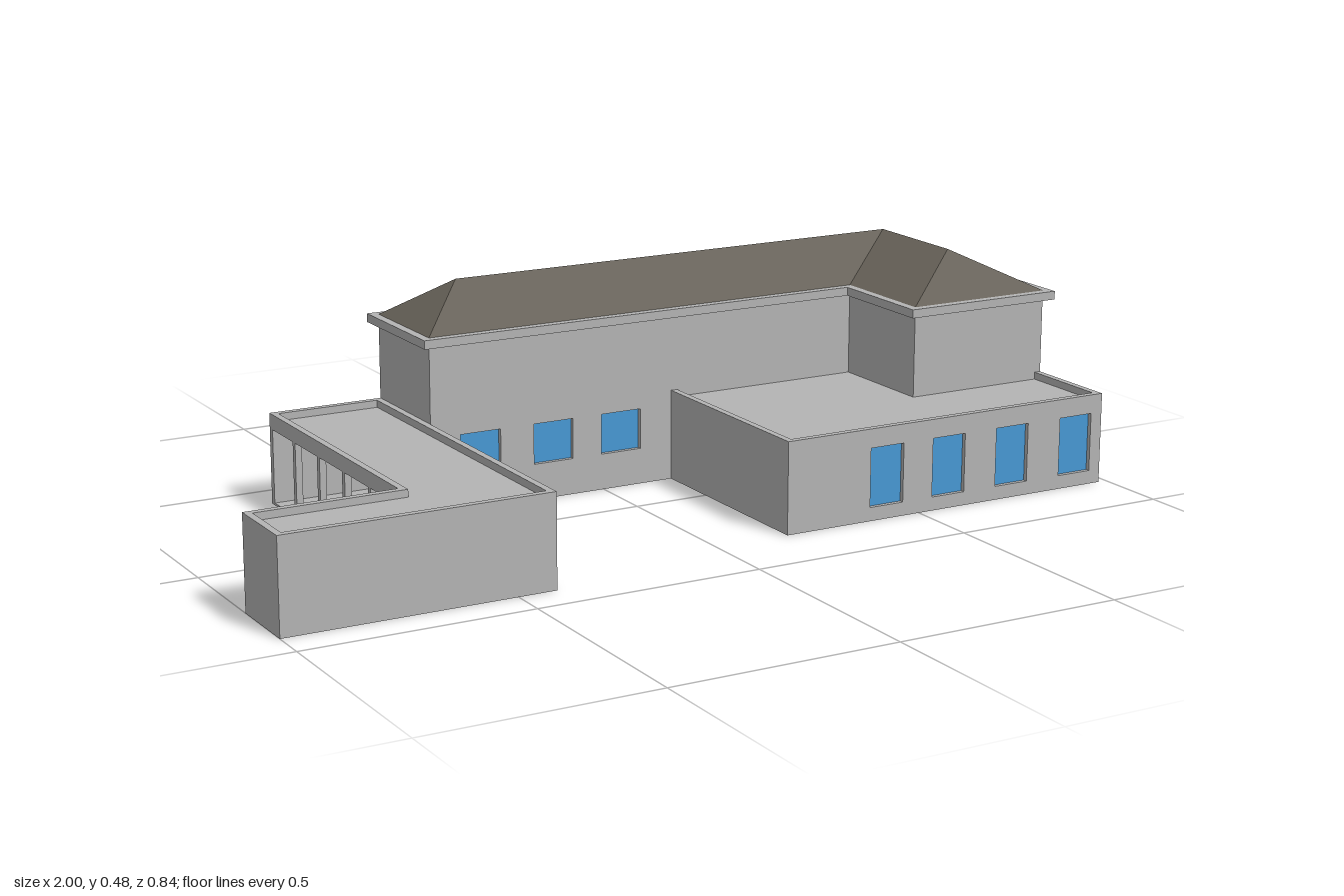
import * as THREE from 'three';

const material = (name, color) => Object.assign(new THREE.MeshStandardMaterial({ color }), { name });

// Footprints run counter-clockwise seen from above, as [x, z]
const MAIN = [[-0.415, -0.15], [0.635, -0.15], [0.635, 0.11], [0.98, 0.11], [0.98, -0.403], [-0.415, -0.403]];
const GROUND = [[-0.415, -0.15], [0.17, -0.15], [0.17, 0.335], [0.98, 0.335], [0.98, -0.403], [-0.415, -0.403]];
const ANNEX = [[0.17, -0.17], [0.17, 0.335], [0.98, 0.335], [0.98, -0.17]];
const WING = [[-1, 0.42], [-0.415, 0.42], [-0.415, -0.403], [-0.675, -0.403], [-0.675, 0.25], [-1, 0.25]];
const WALL = 0.015;

// Direction of the footprint edge starting at corner i
function edge(points, i) {
  const n = points.length;
  const p = points[(i + n) % n], q = points[(i + 1) % n];
  const length = Math.hypot(q[0] - p[0], q[1] - p[1]);
  return { p, length, dx: (q[0] - p[0]) / length, dz: (q[1] - p[1]) / length };
}

// Moves every edge of a right-angled footprint inwards by d
function inset(points, d) {
  return points.map(([x, z], i) => {
    const a = edge(points, i - 1), b = edge(points, i);
    return [x + d * (a.dz + b.dz), z - d * (a.dx + b.dx)];
  });
}

// Upright prism over a footprint, optionally with a hole
function prism(name, points, y0, y1, mat, hole) {
  const flat = (list) => list.map(([x, z]) => new THREE.Vector2(x, -z));
  const shape = new THREE.Shape(flat(points));
  if (hole) shape.holes.push(new THREE.Path(flat(hole)));
  const geometry = new THREE.ExtrudeGeometry(shape, { depth: y1 - y0, bevelEnabled: false });
  geometry.rotateX(-Math.PI / 2).translate(0, y0, 0);
  const mesh = new THREE.Mesh(geometry, mat);
  mesh.name = name;
  return mesh;
}

const rectangle = (Type, x0, x1, y0, y1) => new Type([[x0, y0], [x1, y0], [x1, y1], [x0, y1]]
  .map(([x, y]) => new THREE.Vector2(x, y)));

// Wall along one edge; openings are [from, to, bottom, top] in world x or z
function wall(name, points, i, height, openings, mat, glass) {
  const { p, length, dx, dz } = edge(points, i);
  const group = new THREE.Group();
  group.name = name;
  const shape = rectangle(THREE.Shape, 0, length, 0, height);
  for (const [from, to, y0, y1] of openings) {
    const along = (w) => Math.abs(dx) > 0.5 ? (w - p[0]) * dx : (w - p[1]) * dz;
    const u0 = Math.min(along(from), along(to)), u1 = Math.max(along(from), along(to));
    shape.holes.push(rectangle(THREE.Path, u0, u1, y0, y1));
    if (!glass) continue;
    const pane = new THREE.Mesh(new THREE.BoxGeometry(u1 - u0, y1 - y0, 0.004), glass);
    pane.position.set((u0 + u1) / 2, (y0 + y1) / 2, -0.012);
    pane.name = 'windowPane';
    group.add(pane);
  }
  const geometry = new THREE.ExtrudeGeometry(shape, { depth: WALL, bevelEnabled: false });
  const panel = new THREE.Mesh(geometry.translate(0, 0, -WALL), mat);
  panel.name = 'wallPanel';
  group.add(panel);
  group.position.set(p[0], 0, p[1]);
  group.rotation.y = Math.atan2(-dz, dx);
  return group;
}

// Hipped roof over the L-shaped main block
function hippedRoof(mat) {
  const top = 0.478;
  const points = [
    ...MAIN.map(([x, z]) => [x, 0.389, z]),
    [-0.29, top, -0.277], [0.808, top, -0.277], [0.808, top, -0.018],
  ];
  const slopes = [[0, 1, 7, 6], [1, 2, 8, 7], [2, 3, 8], [3, 4, 7, 8], [4, 5, 6, 7], [5, 0, 6]];
  const positions = [];
  for (const s of slopes) {
    for (let k = 1; k < s.length - 1; k++) {
      positions.push(...points[s[0]], ...points[s[k]], ...points[s[k + 1]]);
    }
  }
  const geometry = new THREE.BufferGeometry();
  geometry.setAttribute('position', new THREE.Float32BufferAttribute(positions, 3));
  geometry.computeVertexNormals();
  const mesh = new THREE.Mesh(geometry, mat);
  mesh.name = 'hippedRoof';
  return mesh;
}

export function createModel() {
  const plaster = material('grey plaster', 0xb4b4b4);
  const tiles = material('brown roof tiles', 0x68635a);
  const glass = material('blue glass', 0x4798d4);
  const model = new THREE.Group();
  model.name = 'building';

  // Ground floor of the main block and front annex, windows listed per wall
  const windows = {
    0: [[-0.345, -0.25], [-0.17, -0.075], [-0.005, 0.092]].map((w) => [...w, 0.08, 0.17]),
    2: [[0.375, 0.458], [0.533, 0.616], [0.698, 0.782], [0.868, 0.952]].map((w) => [...w, 0.03, 0.16]),
    3: [[0.09, -0.003], [-0.086, -0.179], [-0.26, -0.355]].map((w) => [...w, 0.042, 0.135]),
    4: [
      [0.835, 0.775, 0.02, 0.12], [0.575, 0.515, 0.02, 0.12], [0.245, 0.185, 0.06, 0.115],
      [0.01, -0.05, 0.015, 0.115], [-0.215, -0.278, 0.06, 0.115],
    ],
  };
  GROUND.forEach((_, i) => model.add(wall('groundFloorWall', GROUND, i, 0.185, windows[i] || [], plaster, glass)));
  model.add(prism('groundFloorSlab', GROUND, 0, 0.005, plaster));
  model.add(prism('annexRoof', GROUND, 0.172, 0.186, plaster));
  model.add(prism('annexParapet', ANNEX, 0.185, 0.202, plaster, inset(ANNEX, WALL)));

  // Upper floor, cornice and roof
  model.add(prism('upperFloor', MAIN, 0.185, 0.37, plaster));
  model.add(prism('cornice', inset(MAIN, -0.019), 0.37, 0.389, plaster));
  model.add(hippedRoof(tiles));

  // Low side wing, open on its court side through five bays and a doorway
  const bays = Array.from({ length: 5 }, (_, k) => [-0.393 + k * 0.128, -0.278 + k * 0.128, 0.005, 0.168]);
  const openings = { 3: bays, 4: [[-0.835, -0.98, 0.005, 0.168]] };
  WING.forEach((_, i) => model.add(wall('wingWall', WING, i, 0.185, openings[i] || [], plaster)));
  model.add(prism('wingFloor', WING, 0, 0.005, plaster));
  model.add(prism('wingRoof', WING, 0.172, 0.186, plaster));
  model.add(prism('wingParapet', WING, 0.185, 0.202, plaster, inset(WING, WALL)));

  return model;
}
